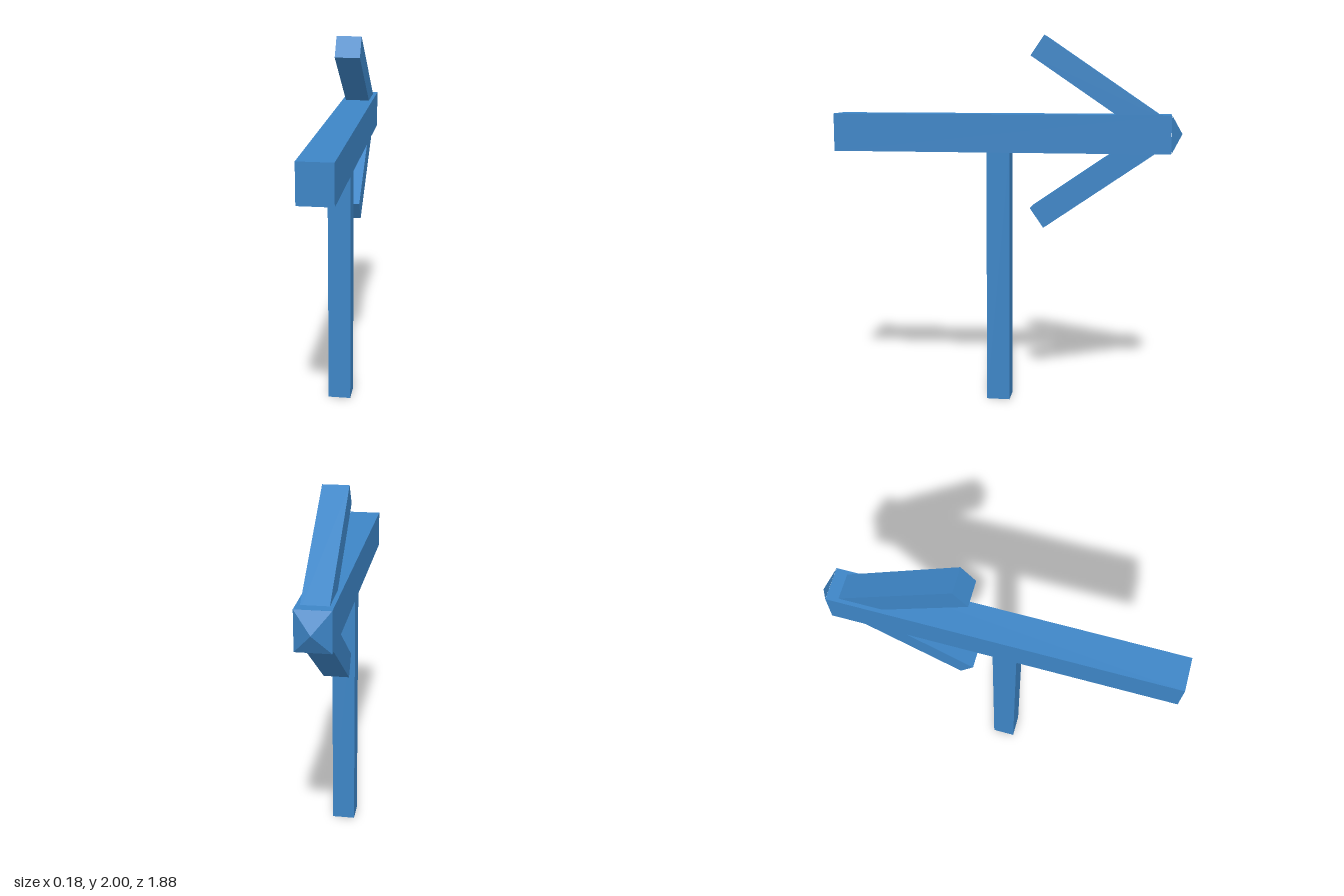
import * as THREE from 'three';

export function createModel() {
  const group = new THREE.Group();
  const material = new THREE.MeshStandardMaterial({ color: 0x3d85c6, flatShading: true });

  function add(name, geometry, x, y, z, tilt = 0) {
    const mesh = new THREE.Mesh(geometry, material);
    mesh.name = name;
    mesh.position.set(x, y, z);
    mesh.rotation.x = tilt;
    group.add(mesh);
  }

  const axisY = 1.483;

  // Upright post, set slightly off centre under the shaft
  add('post', new THREE.BoxGeometry(0.124, 1.4, 0.126), -0.012, 0.7, 0.038);

  // Horizontal arrow shaft
  add('shaft', new THREE.BoxGeometry(0.177, 0.204, 1.817), -0.001, axisY, 0.029);

  // Shallow pyramid tip at the back end, on a unit square base
  const tip = new THREE.ConeGeometry(Math.SQRT1_2, 1, 4, 1, true);
  tip.rotateY(Math.PI / 4).rotateX(-Math.PI / 2).scale(0.177, 0.204, 0.058);
  add('tip', tip, -0.001, axisY, -0.909);

  // Two barbs sweeping forward from the tip; each is placed by its outer end
  const length = 0.8;
  const barbs = [
    { name: 'upperBarb', y: 1.946, angle: 0.598 },
    { name: 'lowerBarb', y: 1.03, angle: -0.603 },
  ];
  for (const { name, y, angle } of barbs) {
    const half = length / 2;
    add(name, new THREE.BoxGeometry(0.136, 0.128, length), -0.001,
      y - half * Math.sin(angle), -0.174 - half * Math.cos(angle), -angle);
  }

  return group;
}
